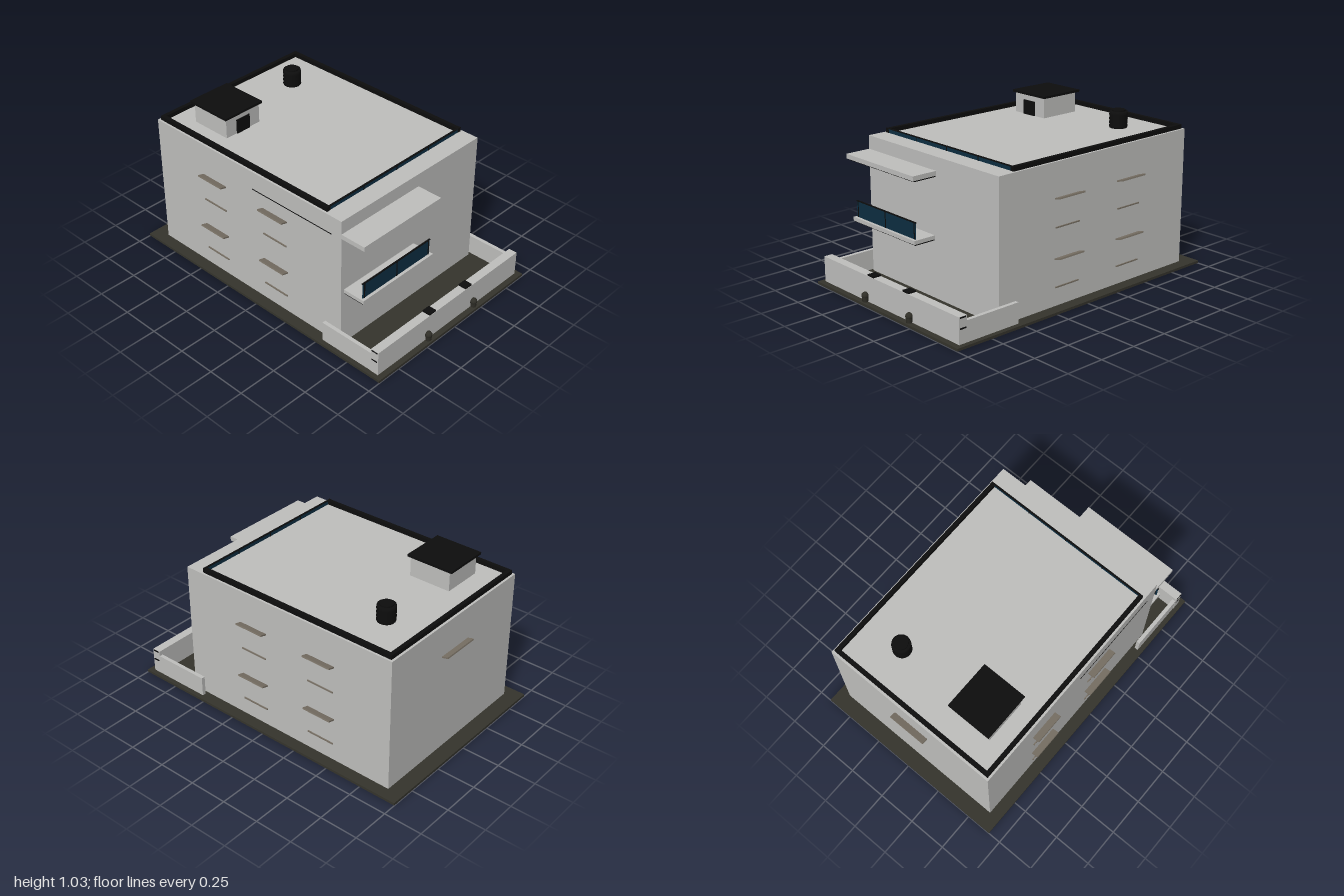
import * as THREE from 'three';

const mat = (name, color) => {
  const m = new THREE.MeshStandardMaterial({ color });
  m.name = name;
  return m;
};

export function createModel() {
  const plaster = mat('pale plaster', 0xc0c0be);
  const paving = mat('dark paving', 0x35342c);
  const black = mat('black trim', 0x0d0d0d);
  const glass = mat('blue glass', 0x0d2e42);
  const awningMat = mat('awning taupe', 0x7a7266);
  const bronze = mat('lamp bronze', 0x302f28);

  const model = new THREE.Group();
  model.name = 'building';

  const add = (name, geometry, material, parent = model) => {
    const mesh = new THREE.Mesh(geometry, material);
    mesh.name = name;
    parent.add(mesh);
    return mesh;
  };
  // Box given by its limits along each axis
  const box = (name, material, x0, x1, y0, y1, z0, z1, parent) => {
    const mesh = add(name, new THREE.BoxGeometry(x1 - x0, y1 - y0, z1 - z0), material, parent);
    mesh.position.set((x0 + x1) / 2, (y0 + y1) / 2, (z0 + z1) / 2);
    return mesh;
  };
  const group = (name) => {
    const g = new THREE.Group();
    g.name = name;
    model.add(g);
    return g;
  };

  // Ground slab and main block
  box('groundSlab', paving, -0.665, 0.665, 0.002, 0.018, -1, 1);
  box('mainBlock', plaster, -0.59, 0.59, 0, 0.89, -0.9, 0.635);

  // Roof parapet: solid on three sides, glazed at the front
  const parapet = group('roofParapet');
  for (const s of [-1, 1]) {
    const c = s * 0.564;
    box('parapetSide', black, c - 0.0125, c + 0.0125, 0.89, 0.917, -0.885, 0.515, parapet);
  }
  box('parapetBack', black, -0.576, 0.576, 0.89, 0.917, -0.885, -0.86, parapet);
  box('parapetGlass', glass, -0.552, 0.552, 0.89, 0.914, 0.507, 0.513, parapet);
  box('parapetRail', black, -0.576, 0.576, 0.914, 0.919, 0.505, 0.516, parapet);
  for (const x of [-0.28, 0, 0.28]) {
    box('parapetPost', black, x - 0.003, x + 0.003, 0.89, 0.915, 0.505, 0.515, parapet);
  }

  // Stair hut on the roof
  const hut = group('stairHut');
  box('hutWalls', plaster, -0.445, -0.18, 0.89, 1.022, -0.715, -0.437, hut);
  box('hutRoof', black, -0.46, -0.165, 1.02, 1.035, -0.737, -0.423, hut);
  box('hutDoor', black, -0.365, -0.262, 0.89, 0.983, -0.438, -0.43, hut);

  // Water tank with raised ribs and a lid
  const tank = group('waterTank');
  tank.position.set(0.288, 0.89, -0.625);
  const tankProfile = [[0, 0], [0.054, 0], [0.058, 0.008], [0.055, 0.02], [0.058, 0.032],
    [0.055, 0.045], [0.058, 0.058], [0.055, 0.07], [0.058, 0.084], [0.055, 0.104], [0, 0.106]]
    .map(([r, y]) => new THREE.Vector2(r, y));
  add('tankBody', new THREE.LatheGeometry(tankProfile, 24), black, tank);
  add('tankLid', new THREE.CylinderGeometry(0.042, 0.042, 0.012, 24), black, tank).position.y = 0.107;

  // Upper canopy with its dark soffit
  const canopy = group('upperCanopy');
  box('canopySlab', plaster, -0.59, 0.053, 0.776, 0.805, 0.63, 0.803, canopy);
  box('canopySoffit', black, -0.577, 0.045, 0.767, 0.776, 0.63, 0.79, canopy);
  box('canopySideLine', black, -0.592, -0.589, 0.769, 0.774, -0.07, 0.56, canopy);

  // Balcony with glass front
  const balcony = group('balcony');
  box('balconySlab', plaster, -0.567, 0.031, 0.386, 0.41, 0.63, 0.785, balcony);
  box('balconySoffit', black, -0.563, 0.026, 0.378, 0.386, 0.63, 0.775, balcony);
  box('balconyGlass', glass, -0.553, 0.016, 0.41, 0.51, 0.761, 0.766, balcony);
  box('balconyRail', black, -0.557, 0.02, 0.509, 0.515, 0.759, 0.768, balcony);
  for (const x of [-0.54, -0.269, 0.007]) {
    box('balconyPost', black, x - 0.0035, x + 0.0035, 0.41, 0.51, 0.759, 0.768, balcony);
  }

  // Boundary walls around the forecourt
  const wall = group('boundaryWall');
  box('frontWall', plaster, -0.636, 0.634, 0, 0.18, 0.907, 0.963, wall);
  for (const s of [-1, 1]) {
    const c = s * 0.622;
    box('sideWall', plaster, c - 0.012, c + 0.012, 0, 0.147, 0.53, 0.91, wall);
    box('gateCap', black, s * 0.165 - 0.028, s * 0.165 + 0.028, 0.18, 0.19, 0.907, 0.961, wall);
    for (const y of [0.11, 0.174]) {
      box('wallEndStrip', black, s * 0.635 - 0.003, s * 0.635 + 0.003, y - 0.004, y + 0.004, 0.915, 0.955, wall);
    }
  }

  // Small faceted domed lamps beside the entrance
  for (const s of [-1, 1]) {
    const lamp = group('gardenLamp');
    lamp.position.set(s * 0.209, 0.018, 0.973);
    const base = add('lampBase', new THREE.CylinderGeometry(0.021, 0.018, 0.032, 10), bronze, lamp);
    base.position.y = 0.016;
    const dome = add('lampDome', new THREE.SphereGeometry(0.023, 10, 8), bronze, lamp);
    dome.position.y = 0.038;
  }

  // Tilted awnings and sills on both sides, and one awning at the back
  const awning = (x, y, z, width, turn) => {
    const g = group('awning');
    g.position.set(x, y, z);
    g.rotation.y = turn;
    const slab = add('awningSlab', new THREE.BoxGeometry(width, 0.009, 0.047), awningMat, g);
    slab.position.set(0, 0.007, 0.021);
    slab.rotation.x = -0.26;
  };
  for (const s of [-1, 1]) {
    for (const z of [0.11, -0.4]) {
      for (const y of [0.672, 0.308]) awning(s * 0.59, y, z, 0.2, s * Math.PI / 2);
      for (const y of [0.5, 0.135]) {
        const c = s * 0.592;
        box('windowSill', awningMat, c - 0.005, c + 0.005, y - 0.004, y + 0.004, z - 0.094, z + 0.094);
      }
    }
  }
  awning(0, 0.672, -0.897, 0.25, Math.PI);

  return model;
}
